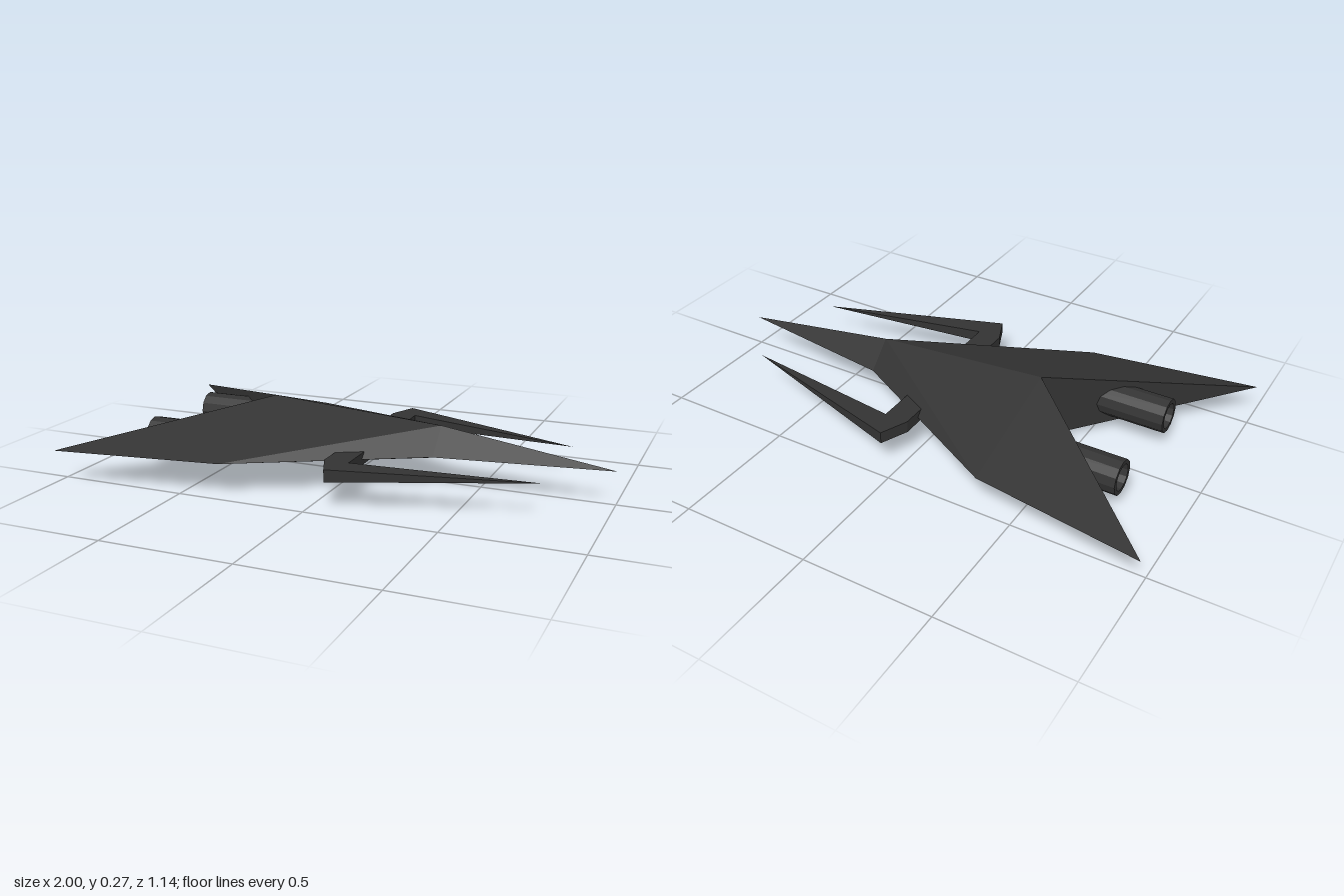
import * as THREE from 'three';

const MID = 0.128; // height of the hull's sharp edge

// Faceted hull: a half given as triangles, mirrored across z = 0
function hullGeometry() {
  const nose = [1, MID, 0], tip = [-1, MID, 0.57];
  const wing = [-0.35, MID, 0.475], neck = [0.34, MID, 0.097];
  const top = [-0.35, 0.275, 0], topNeck = [0.34, 0.225, 0];
  const low = [-0.35, 0.003, 0], lowNeck = [0.34, 0.1, 0];
  const half = [
    [top, tip, wing], [top, wing, topNeck], [wing, neck, topNeck], [topNeck, neck, nose],
    [low, wing, tip], [low, lowNeck, wing], [wing, lowNeck, neck], [lowNeck, nose, neck],
    [top, low, tip],
  ];
  const pos = [];
  for (const [a, b, c] of half) {
    pos.push(...a, ...b, ...c);
    for (const [x, y, z] of [a, c, b]) pos.push(x, y, -z);
  }
  const g = new THREE.BufferGeometry();
  g.setAttribute('position', new THREE.Float32BufferAttribute(pos, 3));
  g.computeVertexNormals();
  return g;
}

// Hooked prong: flat outline with thickness that shrinks to a point at the tip
function prongGeometry(side) {
  const outline = [[0.015, 0.1], [0.015, 0.345], [0.06, 0.452], [0.79, 0.233], [0.11, 0.345], [0.11, 0.1]];
  const shape = new THREE.Shape(outline.map(([x, z]) => new THREE.Vector2(x, z * side)));
  const g = new THREE.ExtrudeGeometry(shape, { depth: 0.046, bevelEnabled: false });
  g.translate(0, 0, -0.023).rotateX(Math.PI / 2);
  const p = g.attributes.position;
  for (let i = 0; i < p.count; i++) if (p.getX(i) > 0.5) p.setY(i, 0);
  g.translate(0, MID + 0.001, 0);
  g.computeVertexNormals();
  return g;
}

// Open engine tube: outer wall, rim, inner wall and a recessed back plate
function engineGeometry() {
  const profile = [[0, 0.3], [0.05, 0.3], [0.05, 0], [0.067, 0], [0.067, 0.4], [0, 0.4]];
  const g = new THREE.LatheGeometry(profile.map(([r, h]) => new THREE.Vector2(r, h)), 12);
  return g.rotateZ(-Math.PI / 2); // open end faces -x
}

export function createModel() {
  const dark = new THREE.MeshStandardMaterial({ color: 0x333333, flatShading: true, side: THREE.DoubleSide });
  dark.name = 'darkGrey';
  const model = new THREE.Group();
  model.name = 'spaceship';
  const add = (name, geometry) => {
    const mesh = new THREE.Mesh(geometry, dark);
    mesh.name = name;
    model.add(mesh);
    return mesh;
  };

  add('hull', hullGeometry());
  for (const side of [1, -1]) {
    const prefix = side > 0 ? 'front' : 'back';
    add(prefix + 'Prong', prongGeometry(side));
    add(prefix + 'Engine', engineGeometry()).position.set(-0.78, MID, 0.213 * side);
  }
  return model;
}
